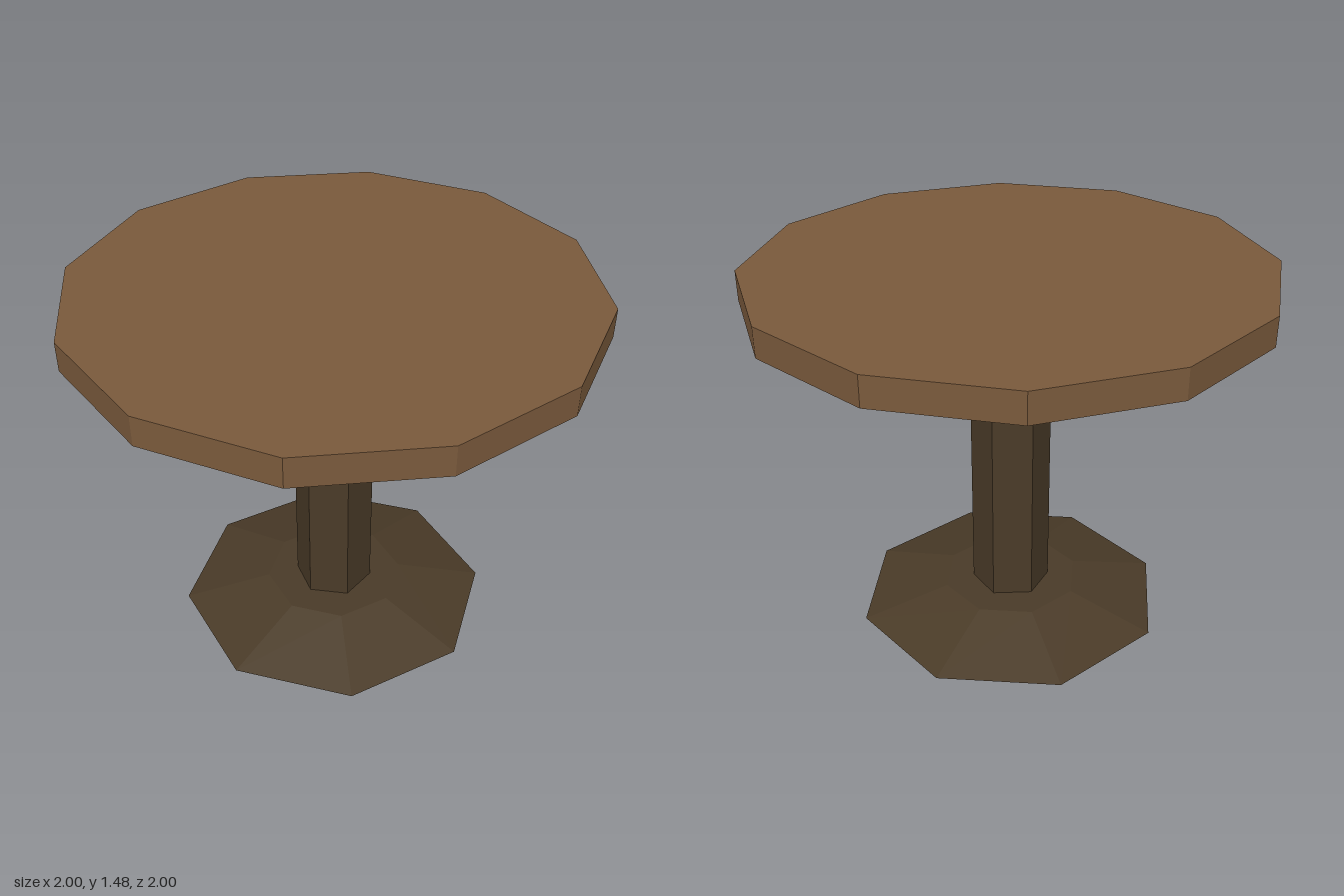
import * as THREE from 'three';

export function createModel() {
  const model = new THREE.Group();
  model.name = 'pedestalTable';

  const topWood = new THREE.MeshStandardMaterial({ color: 0x7a5a3c, flatShading: true });
  topWood.name = 'brown wood';
  const darkWood = new THREE.MeshStandardMaterial({ color: 0x4a3b28, flatShading: true });
  darkWood.name = 'dark wood';

  // Faceted round part spanning y0 to y1
  function addPart(name, rTop, rBottom, y0, y1, sides, material) {
    const mesh = new THREE.Mesh(new THREE.CylinderGeometry(rTop, rBottom, y1 - y0, sides), material);
    mesh.name = name;
    mesh.position.y = (y0 + y1) / 2;
    model.add(mesh);
  }

  addPart('base', 0.28, 0.63, 0, 0.09, 8, darkWood);
  addPart('column', 0.157, 0.157, 0.09, 1.36, 6, darkWood);
  addPart('tableTop', 1, 1, 1.36, 1.475, 12, topWood);

  return model;
}
